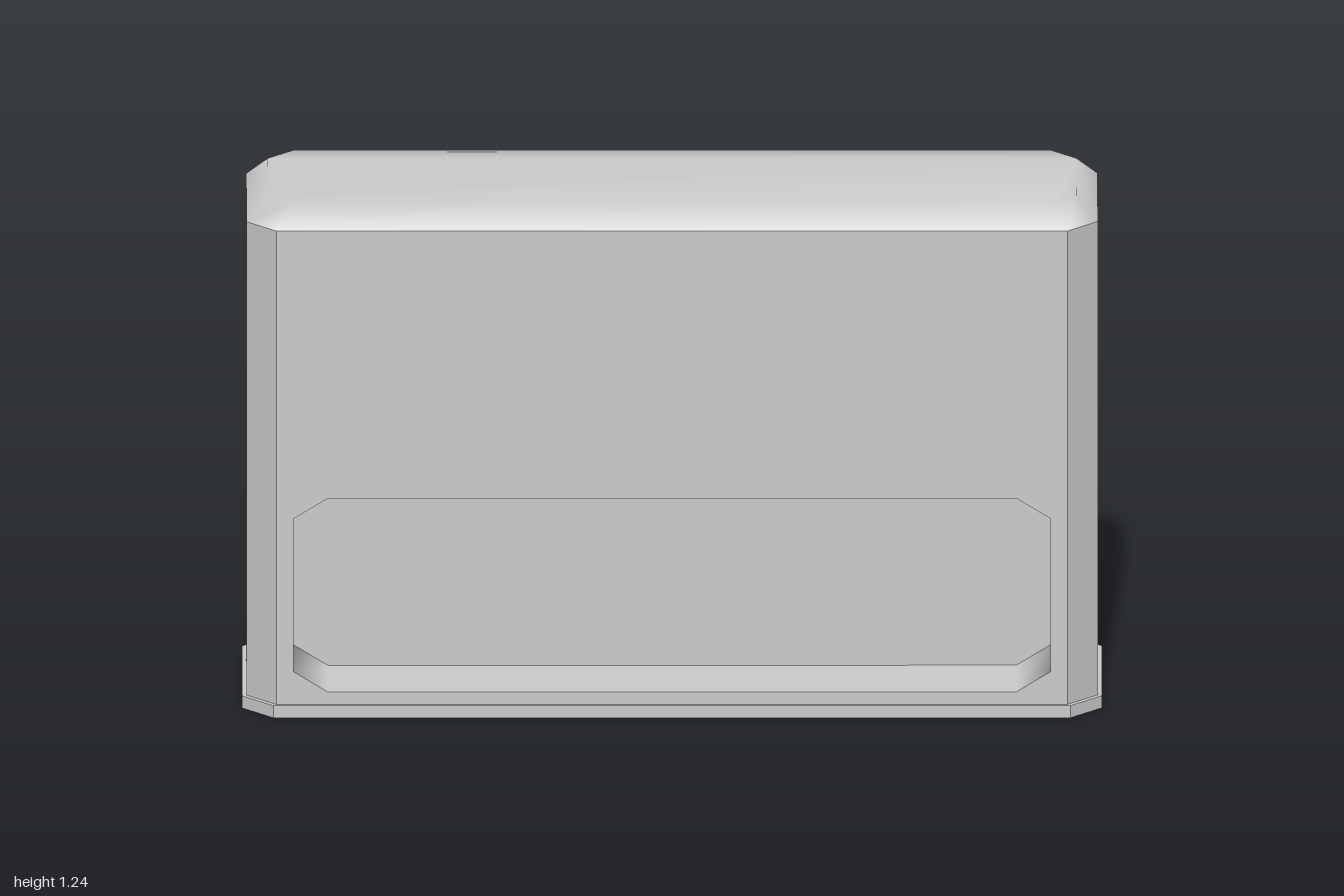
import * as THREE from 'three';

const material = new THREE.MeshStandardMaterial({ color: 0xcccccc });
const flat = new THREE.MeshStandardMaterial({ color: 0xcccccc, flatShading: true });

// Rectangle with cut corners, counter-clockwise: half sizes w, h and cuts cx, cy
function cutRect(w, h, cx, cy, oy = 0) {
  return [
    [w, h - cy], [w - cx, h], [-w + cx, h], [-w, h - cy],
    [-w, -h + cy], [-w + cx, -h], [w - cx, -h], [w, -h + cy],
  ].map(([x, y]) => new THREE.Vector2(x, y + oy));
}

// Joins two matching rings of points with quads, facing outward for
// counter-clockwise rings; skip lists sides to leave open, closed adds an end lid
function band(a, b, skip = [], closed = false) {
  const n = a.length;
  const index = [];
  for (let i = 0; i < n; i++) {
    if (skip.includes(i)) continue;
    const j = (i + 1) % n;
    index.push(i, j, n + j, i, n + j, n + i);
  }
  if (closed) for (let i = 1; i < n - 1; i++) index.push(n, n + i, n + i + 1);
  const geometry = new THREE.BufferGeometry();
  geometry.setAttribute('position', new THREE.Float32BufferAttribute([...a, ...b].flat(), 3));
  geometry.setIndex(index);
  geometry.computeVertexNormals();
  return geometry;
}

// Horizontal ring at height y
const ring = (w, d, cut, y) => cutRect(w, d, cut, cut).map((p) => [p.x, y, -p.y]);

export function createModel() {
  const model = new THREE.Group();
  const add = (parent, name, geometry, mat = material) => {
    const mesh = new THREE.Mesh(geometry, mat);
    mesh.name = name;
    parent.add(mesh);
    return mesh;
  };

  const W = 0.99, D = 0.248, CUT = 0.07;
  const BASE = 0.03, TOP = 1.19, RECESS_Z = 0.05;

  // Base plinth with a narrow lip
  const plinth = new THREE.ExtrudeGeometry(
    new THREE.Shape(cutRect(1, 0.257, 0.073, 0.073)), { depth: BASE, bevelEnabled: false });
  plinth.rotateX(-Math.PI / 2);
  add(model, 'base', plinth, flat);

  // Ends and cut corners of the body (front and back stay open for the panels)
  add(model, 'bodySides',
    band(ring(W, D, CUT, BASE), ring(W, D, CUT, TOP), [1, 5]), flat);

  // Bevelled lid, softly shaded
  add(model, 'lid',
    band(ring(W, D, CUT, TOP), ring(W - 0.05, D - 0.05, 0.059, 1.24), [], true));

  // Front and back panels, each with a deep recess
  const outline = cutRect(0.88, 0.2375, 0.08, 0.05, 0.2975);
  for (const name of ['front', 'back']) {
    const side = new THREE.Group();
    side.name = name;
    const w = W - CUT;
    const shape = new THREE.Shape([
      new THREE.Vector2(-w, BASE), new THREE.Vector2(w, BASE),
      new THREE.Vector2(w, TOP), new THREE.Vector2(-w, TOP),
    ]);
    shape.holes.push(new THREE.Path([...outline].reverse()));
    add(side, name + 'Panel', new THREE.ShapeGeometry(shape)).position.z = D;
    add(side, name + 'RecessFloor',
      new THREE.ShapeGeometry(new THREE.Shape(outline))).position.z = RECESS_Z;
    // Walls face inward, so the band runs from the panel back to the floor
    add(side, name + 'RecessWalls', band(
      outline.map((p) => [p.x, p.y, D]), outline.map((p) => [p.x, p.y, RECESS_Z])));
    if (name === 'back') side.rotation.y = Math.PI;
    model.add(side);
  }

  return model;
}
